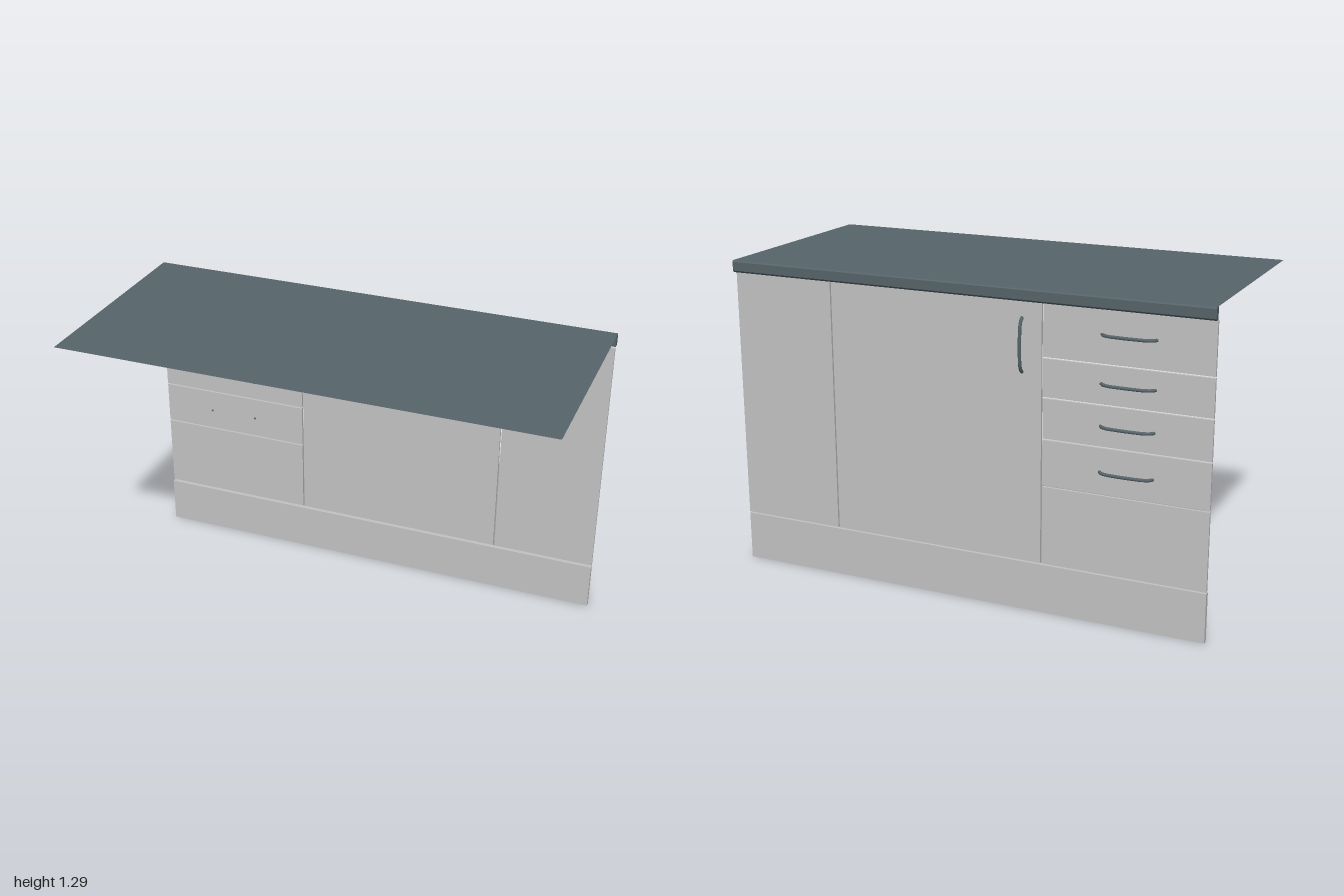
import * as THREE from 'three';

const BACK = -0.434; // outer face of the fronts (handles point to -z)
const GAP = 0.006;

export function createModel() {
  const model = new THREE.Group();
  model.name = 'kitchenBaseUnit';

  const panelGrey = new THREE.MeshStandardMaterial({ color: 0xc2c2c2 });
  panelGrey.name = 'panelGrey';
  const slate = new THREE.MeshStandardMaterial({ color: 0x56646a, side: THREE.DoubleSide });
  slate.name = 'slate';

  const add = (name, geometry, material, parent = model) => {
    const mesh = new THREE.Mesh(geometry, material);
    mesh.name = name;
    parent.add(mesh);
    return mesh;
  };

  // Upright panel given by its edges, outer face on BACK
  const panel = (name, x0, x1, y0, y1, depth = 0.011) => {
    const mesh = add(name, new THREE.BoxGeometry(x1 - x0, y1 - y0, depth), panelGrey);
    mesh.position.set((x0 + x1) / 2, (y0 + y1) / 2, BACK + depth / 2);
  };

  // Plinth and tall fronts
  panel('plinth', -1, 1, 0, 0.2, 0.02);
  panel('door', -0.334, 0.561, 0.206, 1.235);
  panel('sidePanel', 0.567, 1, 0.206, 1.235);

  // Stack of drawer fronts, listed by the seams between them
  const seams = [0.203, 0.524, 0.711, 0.874, 1.028, 1.238];
  for (let i = 0; i < seams.length - 1; i++) {
    panel(i ? 'drawerFront' : 'lowerPanel', -1, -0.34, seams[i] + GAP / 2, seams[i + 1] - GAP / 2);
  }

  // Thin worktop sheet
  const top = add('worktop', new THREE.PlaneGeometry(2, 0.918).rotateX(-Math.PI / 2), slate);
  top.position.set(0, 1.286, 0.001);

  // Worktop edge strip, chamfered on its outer corners
  const profile = new THREE.Shape([
    [-0.435, 1.237], [-0.435, 1.286], [-0.452, 1.286],
    [-0.458, 1.28], [-0.458, 1.244], [-0.452, 1.237],
  ].map(([z, y]) => new THREE.Vector2(z, y)));
  const strip = new THREE.ExtrudeGeometry(profile, { depth: 2, bevelEnabled: false });
  strip.rotateY(-Math.PI / 2).translate(1, 0, 0);
  add('worktopEdge', strip, slate);

  // Bow handles with a fixing pin at each end
  const bow = new THREE.CatmullRomCurve3([
    [-0.105, 0.004], [-0.096, -0.009], [-0.075, -0.019], [-0.04, -0.0225],
    [0.04, -0.0225], [0.075, -0.019], [0.096, -0.009], [0.105, 0.004],
  ].map(([x, z]) => new THREE.Vector3(x, 0, z)));
  const bowGeometry = new THREE.TubeGeometry(bow, 40, 0.0065, 10);
  const pinGeometry = new THREE.CylinderGeometry(0.005, 0.005, 0.012, 10).rotateX(Math.PI / 2);
  const handle = (name, x, y, vertical = false) => {
    const group = new THREE.Group();
    group.name = name;
    add('bow', bowGeometry, slate, group);
    for (const s of [-1, 1]) add('pin', pinGeometry, slate, group).position.set(s * 0.105, 0, 0.0055);
    group.position.set(x, y, BACK);
    if (vertical) group.rotation.z = Math.PI / 2;
    model.add(group);
  };
  for (const y of [0.614, 0.793, 0.955, 1.14]) handle('drawerHandle', -0.675, y);
  handle('doorHandle', -0.255, 1.067, true);

  return model;
}
